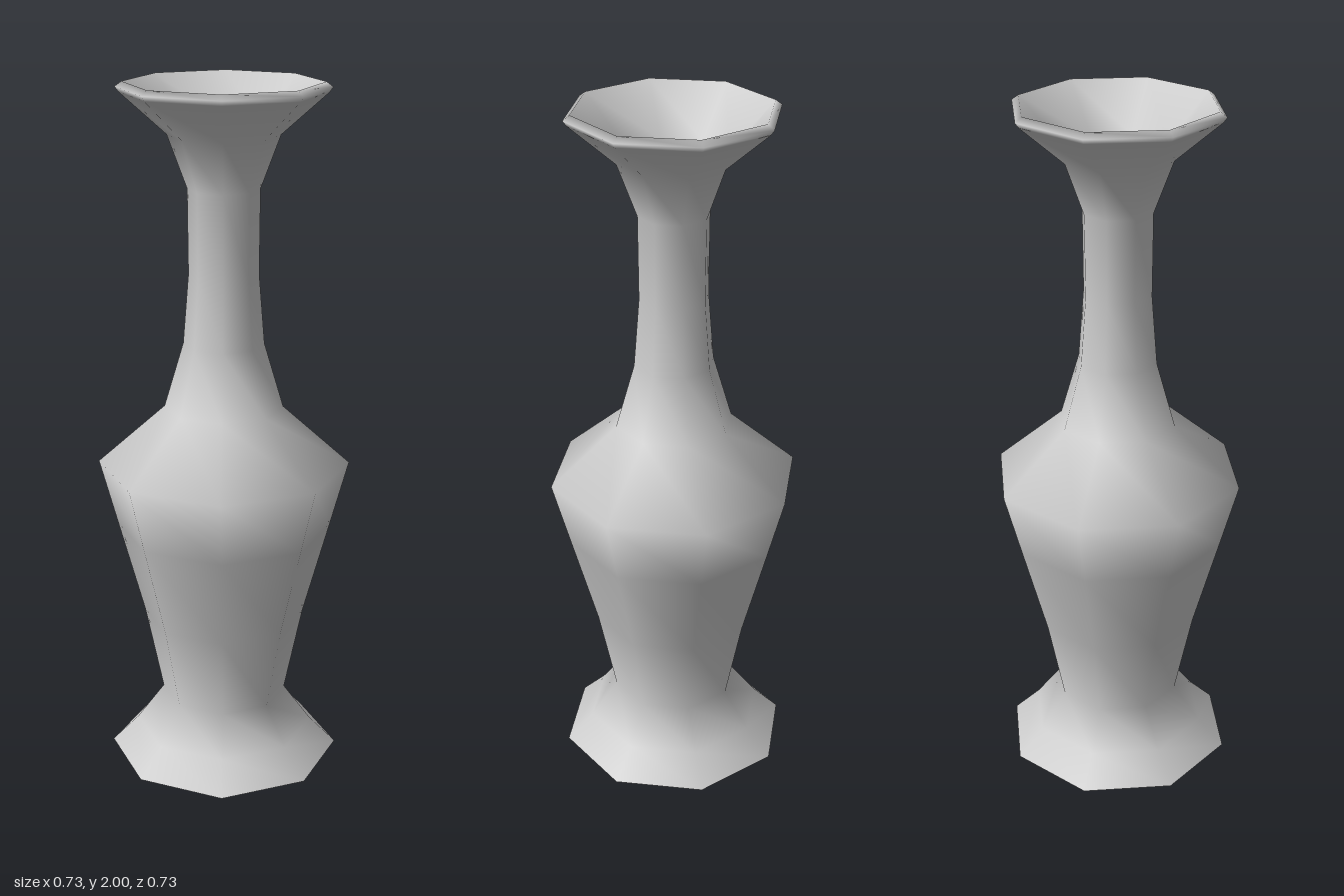
import * as THREE from 'three';

const SIDES = 8;

export function createModel() {
  const model = new THREE.Group();
  model.name = 'vase';
  const material = new THREE.MeshStandardMaterial({ color: 0xcccccc });

  const add = (name, geometry) => {
    const mesh = new THREE.Mesh(geometry, material);
    mesh.name = name;
    model.add(mesh);
    return mesh;
  };

  // Horizontal eight-sided cap facing up or down
  const addCap = (name, radius, y, up) => {
    const geometry = new THREE.CircleGeometry(radius, SIDES);
    geometry.rotateX(up ? -Math.PI / 2 : Math.PI / 2);
    add(name, geometry).position.y = y;
  };

  // Foot, belly, shoulder, neck, rounded lip, then down the inside of the mouth
  const profile = [
    [0.34, 0], [0.262, 0.08], [0.183, 0.187], [0.235, 0.44], [0.311, 0.72],
    [0.363, 0.913], [0.17, 1.083], [0.115, 1.27], [0.099, 1.47], [0.101, 1.71],
    [0.156, 1.858], [0.285, 1.972], [0.295, 1.986], [0.276, 2],
    [0.15, 1.868], [0.101, 1.71],
  ].map(([r, y]) => new THREE.Vector2(r, y));
  add('body', new THREE.LatheGeometry(profile, SIDES));

  addCap('base', 0.34, 0, false);
  addCap('throatFloor', 0.101, 1.71, true);

  return model;
}
